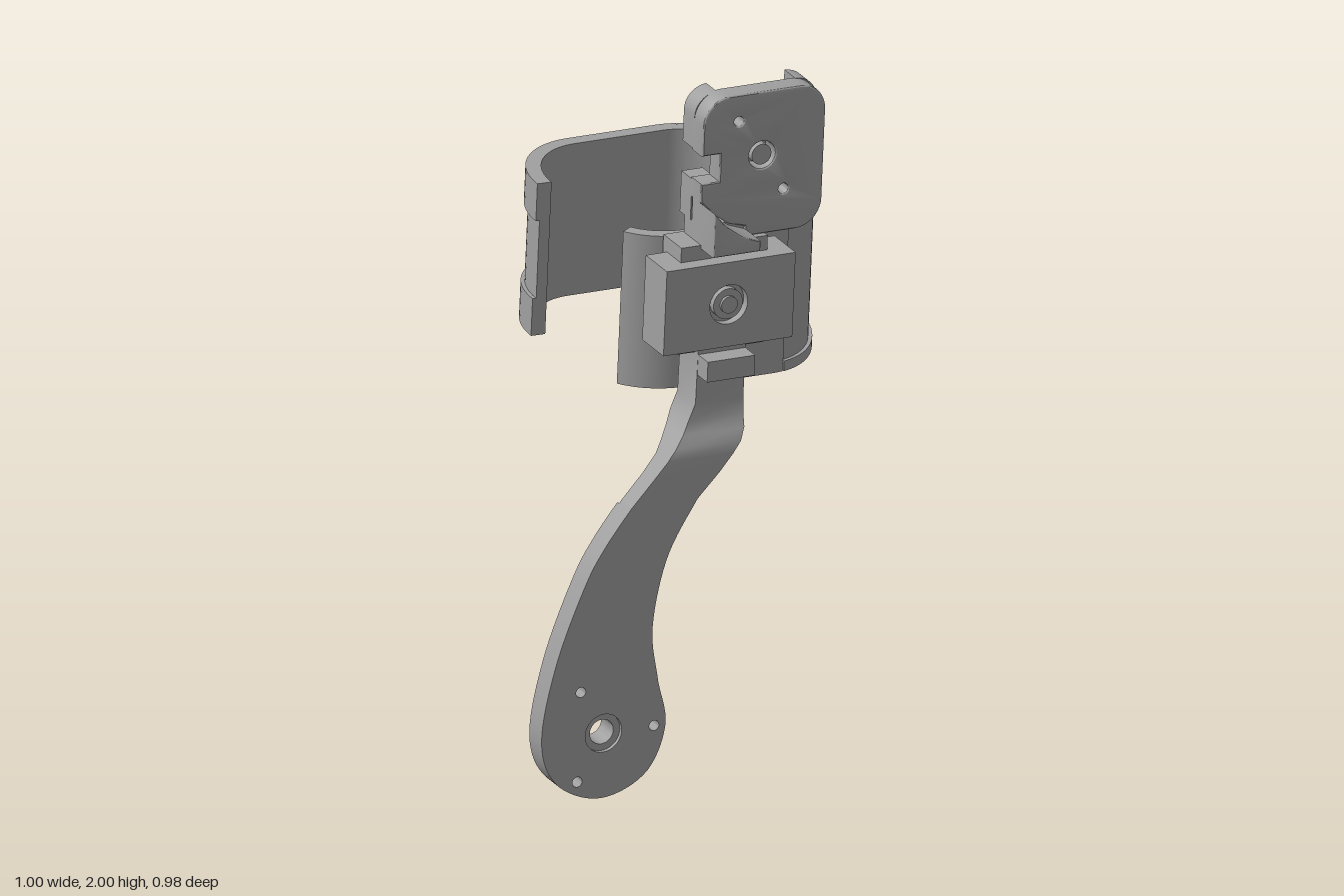
import * as THREE from 'three';
import { toCreasedNormals } from 'three/addons/utils/BufferGeometryUtils.js';

const grey = new THREE.MeshStandardMaterial({ color: 0xa0a0a0 });
grey.name = 'grey plastic';
const V = (x, y) => new THREE.Vector2(x, y);

function add(parent, name, geometry) {
  const mesh = new THREE.Mesh(toCreasedNormals(geometry, 0.5), grey);
  mesh.name = name;
  parent.add(mesh);
  return mesh;
}

function box(parent, name, x0, x1, y0, y1, z0, z1) {
  const g = new THREE.BoxGeometry(x1 - x0, y1 - y0, z1 - z0);
  return add(parent, name, g.translate((x0 + x1) / 2, (y0 + y1) / 2, (z0 + z1) / 2));
}

// Flat plate from z0 to z1 with round holes given as [x, y, radius]
function plate(parent, name, points, z0, z1, holes = [], bevel = 0) {
  const shape = new THREE.Shape(points);
  for (const [x, y, r] of holes) {
    shape.holes.push(new THREE.Path().absarc(x, y, r, 0, Math.PI * 2, true));
  }
  const g = new THREE.ExtrudeGeometry(shape, {
    depth: z1 - z0 - 2 * bevel, curveSegments: 20, bevelEnabled: bevel > 0,
    bevelSize: bevel, bevelThickness: bevel, bevelOffset: -bevel, bevelSegments: 3,
  });
  return add(parent, name, g.translate(0, 0, z0 + bevel));
}

// Cylinder along z
function disc(parent, name, x, y, r, z0, z1) {
  const g = new THREE.CylinderGeometry(r, r, z1 - z0, 32).rotateX(Math.PI / 2);
  return add(parent, name, g.translate(x, y, (z0 + z1) / 2));
}

const rect = (x0, x1, y0, y1) => [V(x0, y0), V(x1, y0), V(x1, y1), V(x0, y1)];

// Points on an ellipse, angles in degrees
function arc(cx, cy, rx, ry, a0, a1, n = 20) {
  return Array.from({ length: n + 1 }, (_, i) => {
    const a = THREE.MathUtils.degToRad(a0 + (a1 - a0) * i / n);
    return V(cx + rx * Math.cos(a), cy + ry * Math.sin(a));
  });
}

// Outline of a band following a path, between two offsets to its right
function band(path, inner, outer) {
  const offset = d => path.map((p, i) => {
    const t = path[Math.min(i + 1, path.length - 1)].clone().sub(path[Math.max(i - 1, 0)]).normalize();
    return V(p.x + t.y * d, p.y - t.x * d);
  });
  return [...offset(outer), ...offset(inner).reverse()];
}

// Rectangular sections [y, left, right, back, front] joined into a solid
function loft(parent, name, rows) {
  const pos = [];
  const rings = rows.map(([y, l, r, b, f]) => [[l, y, f], [r, y, f], [r, y, b], [l, y, b]]);
  const quad = (a, b, c, d) => pos.push(...a, ...b, ...c, ...a, ...c, ...d);
  for (let i = 0; i < rings.length - 1; i++) {
    for (let j = 0; j < 4; j++) {
      const k = (j + 1) % 4;
      quad(rings[i][j], rings[i][k], rings[i + 1][k], rings[i + 1][j]);
    }
  }
  quad(...rings.at(-1));
  quad(...[...rings[0]].reverse());
  const g = new THREE.BufferGeometry();
  g.setAttribute('position', new THREE.Float32BufferAttribute(pos, 3));
  g.computeVertexNormals();
  return add(parent, name, g);
}

function buildCuff(parent) {
  const cuff = new THREE.Group();
  cuff.name = 'cuff';
  parent.add(cuff);
  const side = (a0, a1, n) => arc(0.25, 0.213, 0.222, 0.354, a0, a1, n);
  const front = [...arc(-0.02, 0.02, 0.17, 0.161, 211, 270, 12), ...side(-90, -82, 2)];
  const right = side(-82, 77, 40);
  const back = [...side(77, 90, 4), ...arc(-0.02, 0.32, 0.205, 0.247, 90, 180, 20)];
  const wall = (name, path, inner, outer, y0, y1) =>
    plate(cuff, name, band(path, inner, outer), y0, y1).rotation.set(-Math.PI / 2, 0, 0);
  wall('cuffWall', [...front, ...right.slice(1), ...back.slice(1)], -0.02, 0.012, 1.14, 1.59);
  // Raised borders round the recessed outer panel
  wall('cuffFrontPad', front, 0.01, 0.021, 1.14, 1.59);
  for (const [path, h, name] of [[right, 0.03, 'cuffSideRim'], [back, 0.11, 'cuffBackRim']]) {
    wall(name, path, 0.01, 0.023, 1.14, 1.14 + h);
    wall(name, path, 0.01, 0.023, 1.59 - h, 1.59);
  }
}

function buildArm(parent) {
  const arm = new THREE.Group();
  arm.name = 'arm';
  parent.add(arm);
  const outline = new THREE.SplineCurve([
    V(-0.257, 0.88), V(-0.33, 0.78), V(-0.39, 0.67), V(-0.47, 0.445), V(-0.505, 0.222),
    V(-0.45, 0.088), V(-0.315, 0.032), V(-0.18, 0.088), V(-0.125, 0.222), V(-0.155, 0.365),
    V(-0.177, 0.52), V(-0.14, 0.72), V(-0.055, 0.88)]).getPoints(90);
  const pins = [[-0.39, 0.355, 0.015], [-0.16, 0.224, 0.015], [-0.39, 0.09, 0.015]];
  plate(arm, 'armBody', outline, 0.272, 0.325, [[-0.315, 0.224, 0.036], ...pins]);
  plate(arm, 'armFace', outline, 0.325, 0.337, [[-0.315, 0.224, 0.056], ...pins]);
  plate(arm, 'pivotDisc', arc(-0.315, 0.224, 0.15, 0.15, 0, 354, 59), 0.25, 0.273, [[-0.315, 0.224, 0.036]]);
  loft(arm, 'neck', [
    [0.88, -0.257, -0.055, 0.272, 0.337], [0.95, -0.195, 0.01, 0.27, 0.337],
    [1.0, -0.152, 0.05, 0.263, 0.337], [1.03, -0.125, 0.075, 0.24, 0.33],
    [1.06, -0.093, 0.095, 0.205, 0.308], [1.09, -0.07, 0.1, 0.18, 0.29],
    [1.14, -0.047, 0.1, 0.175, 0.285], [1.31, -0.045, 0.1, 0.175, 0.285]]);
  // Ribs on the back
  const rib = new THREE.SplineCurve([
    V(-0.1, 0.99), V(-0.2, 0.89), V(-0.32, 0.72), V(-0.4, 0.53), V(-0.43, 0.4)]).getPoints(30);
  plate(arm, 'backRib', band(rib, -0.018, 0.018), 0.252, 0.274);
  plate(arm, 'edgeRib', band(outline.slice(1, 46), -0.018, 0), 0.262, 0.274);
  box(arm, 'neckTab', -0.045, 0.1, 1.225, 1.285, 0.26, 0.345);
}

function buildClamp(parent) {
  const clamp = new THREE.Group();
  clamp.name = 'clamp';
  parent.add(clamp);
  box(clamp, 'rail', -0.1, 0.165, 1.285, 1.6, 0.155, 0.265);
  box(clamp, 'clampBody', -0.165, 0.23, 1.307, 1.557, 0.18, 0.285);
  plate(clamp, 'clampFace', rect(-0.165, 0.23, 1.307, 1.557), 0.285, 0.31, [[0.03, 1.432, 0.058]]);
  disc(clamp, 'clampScrew', 0.03, 1.432, 0.045, 0.28, 0.306);
  disc(clamp, 'clampScrewTip', 0.03, 1.432, 0.025, 0.3, 0.315);
  box(clamp, 'headStem', -0.04, 0.1, 1.58, 1.65, 0.16, 0.245);
}

function buildHead(parent) {
  const head = new THREE.Group();
  head.name = 'head';
  parent.add(head);
  const corner = (x, y, a) => arc(x, y, 0.08, 0.08, a, a + 90, 10);
  const outline = [
    V(0.1, 1.6), ...corner(0.255, 1.68, -90), ...corner(0.255, 1.944, 0), ...corner(0.04, 1.944, 90),
    V(-0.04, 1.855), V(0.015, 1.855), V(0.015, 1.775), V(-0.04, 1.775), V(-0.04, 1.72),
    V(0.0, 1.68), V(0.05, 1.645), V(0.1, 1.63)];
  plate(head, 'headFace', outline, 0.185, 0.252,
    [[0.07, 1.944, 0.014], [0.215, 1.725, 0.014], [0.145, 1.835, 0.04]], 0.008);
  disc(head, 'headScrew', 0.145, 1.835, 0.03, 0.18, 0.246);
  // Rails and mounting plate on the back
  plate(head, 'rightRail', [V(0.265, 1.61), ...arc(0.265, 1.67, 0.07, 0.07, -80, 0, 8),
    ...arc(0.265, 1.954, 0.07, 0.07, 0, 90, 8)], 0.13, 0.195);
  plate(head, 'leftUpperRail', [V(-0.04, 1.86), V(0.025, 1.86), V(0.025, 2.02),
    ...arc(0.03, 1.954, 0.07, 0.066, 100, 180, 8)], 0.13, 0.195);
  box(head, 'leftLowerRail', -0.04, 0.025, 1.65, 1.77, 0.13, 0.195);
  plate(head, 'backPlate', rect(0.045, 0.25, 1.66, 1.97), 0.15, 0.19,
    [0.075, 0.22].flatMap(x => [1.7, 1.93].map(y => [x, y, 0.016])));
  // Thumb catch
  plate(head, 'thumbCatch', [V(-0.04, 1.59), V(0.105, 1.59), V(0.105, 1.62), V(0.05, 1.64),
    V(0.0, 1.675), V(-0.04, 1.72)], 0.2, 0.342, [], 0.005);
}

export function createModel() {
  const model = new THREE.Group();
  model.name = 'cuffBracket';
  // The whole assembly leans slightly forward
  const tilted = new THREE.Group();
  tilted.name = 'tiltedAssembly';
  tilted.rotation.x = THREE.MathUtils.degToRad(5);
  model.add(tilted);
  for (const build of [buildCuff, buildArm, buildClamp, buildHead]) build(tilted);
  return model;
}
